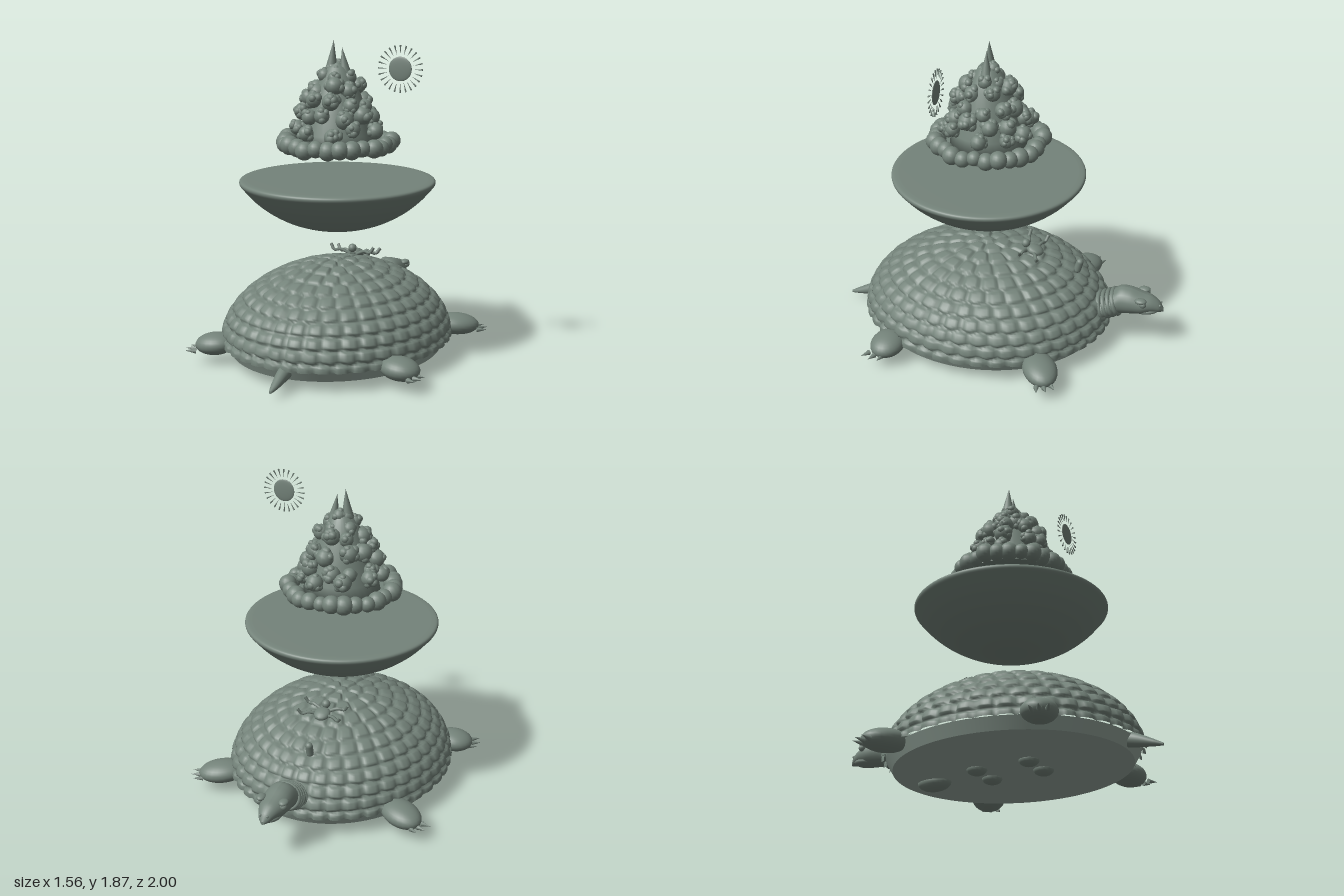
import * as THREE from 'three';
import { mergeGeometries, mergeVertices } from 'three/addons/utils/BufferGeometryUtils.js';

const stone = new THREE.MeshStandardMaterial({ color: 0x74837a });
const pale = new THREE.MeshStandardMaterial({ color: 0x94a59b });
const CZ = 0.09; // shared centre of shell, bowl and mountain along z

let seed = 7;
const rand = (a = 0, b = 1) => {
  seed = (seed * 16807) % 2147483647;
  return a + (b - a) * (seed / 2147483647);
};

function add(parent, name, geometry, pos = [0, 0, 0], rot = [0, 0, 0], scale = [1, 1, 1], mat = stone) {
  const m = new THREE.Mesh(geometry, mat);
  m.name = name;
  m.position.set(...pos);
  m.rotation.set(...rot);
  m.scale.set(...scale);
  parent.add(m);
  return m;
}

const ball = (r, x = 0, y = 0, z = 0, w = 12, h = 9) => new THREE.SphereGeometry(r, w, h).translate(x, y, z);

// Cone whose base sits at one point and whose tip is at another
function spike(from, to, r, sides = 8) {
  const a = new THREE.Vector3(...from), d = new THREE.Vector3(...to).sub(a);
  const g = new THREE.ConeGeometry(r, d.length(), sides).translate(0, d.length() / 2, 0);
  g.applyQuaternion(new THREE.Quaternion().setFromUnitVectors(new THREE.Vector3(0, 1, 0), d.normalize()));
  return g.translate(...from);
}

// Smooth skin through oval sections [z, y, rx, ry], listed towards -z
function loft(sections) {
  const mid = new THREE.CatmullRomCurve3(sections.map(s => new THREE.Vector3(0, s[1], s[0])));
  const size = new THREE.CatmullRomCurve3(sections.map(s => new THREE.Vector3(s[2], s[3], 0)));
  const g = new THREE.CylinderGeometry(1, 1, 1, 24, 40);
  const p = g.attributes.position;
  for (let i = 0; i < p.count; i++) {
    const t = THREE.MathUtils.clamp(p.getY(i) + 0.5, 0, 1);
    const c = mid.getPoint(t), s = size.getPoint(t);
    p.setXYZ(i, p.getX(i) * s.x, c.y + p.getZ(i) * s.y, c.z);
  }
  g.computeVertexNormals();
  return g;
}

// Dome divided into raised scales by distance to the two nearest cell centres
function scaledDome() {
  const cells = [], step = 0.155;
  for (let k = 0; k < 11; k++) {
    const a = k * step, n = Math.max(1, Math.round(2 * Math.PI * Math.sin(a) / step));
    for (let j = 0; j < n; j++) {
      const b = (j + (k % 2) / 2) / n * 2 * Math.PI;
      cells.push(new THREE.Vector3(Math.sin(a) * Math.cos(b), Math.cos(a), Math.sin(a) * Math.sin(b)));
    }
  }
  let g = new THREE.SphereGeometry(1, 220, 84, 0, Math.PI * 2, 0, Math.PI / 2);
  g.deleteAttribute('uv');
  g.deleteAttribute('normal');
  g = mergeVertices(g, 1e-4);
  const p = g.attributes.position, v = new THREE.Vector3();
  for (let i = 0; i < p.count; i++) {
    v.fromBufferAttribute(p, i);
    let f1 = 9, f2 = 9;
    for (const c of cells) {
      const d = v.distanceTo(c);
      if (d < f1) { f2 = f1; f1 = d; } else if (d < f2) f2 = d;
    }
    const k = 0.975 + 0.03 * THREE.MathUtils.smoothstep(f2 - f1, 0, 0.06) - 0.06 * f1;
    const flare = k * Math.pow(Math.max(Math.hypot(v.x, v.z), 1e-6), 0.12);
    p.setXYZ(i, v.x * 0.67 * flare, 0.115 + v.y * 0.465 * k, CZ + v.z * 0.765 * flare);
  }
  g.computeVertexNormals();
  return g;
}

function buildTurtle() {
  const t = new THREE.Group();
  t.name = 'turtle';
  add(t, 'shell', scaledDome());
  // Pale belly with its round bumps
  add(t, 'bellyPlate', new THREE.CylinderGeometry(1, 0.945, 0.07, 80), [0, 0.085, CZ], [0, 0, 0], [0.645, 1, 0.74], pale);
  for (const x of [-0.09, 0.09]) for (const z of [0.24, -0.09])
    add(t, 'bellyBump', ball(0.06), [x, 0.05, z], [0, 0, 0], [1, 0.6, 1]);
  add(t, 'frontBellyBump', ball(0.1, 0, 0, 0, 20, 14), [0, 0.05, -0.42], [0, 0, 0], [0.75, 0.5, 1.05]);

  // Neck, head and tail
  add(t, 'neckAndHead', loft([
    [-0.5, 0.2, 0.1, 0.08], [-0.62, 0.22, 0.098, 0.075], [-0.69, 0.26, 0.094, 0.085], [-0.74, 0.29, 0.085, 0.088],
    [-0.8, 0.295, 0.086, 0.082], [-0.87, 0.29, 0.08, 0.066], [-0.93, 0.29, 0.058, 0.048], [-0.975, 0.275, 0.035, 0.032],
    [-1, 0.258, 0.01, 0.01]]));
  add(t, 'lowerJaw', ball(1, 0, 0, 0, 20, 14), [0, 0.25, -0.89], [0.1, 0, 0], [0.06, 0.026, 0.09]);
  for (let i = 0; i < 5; i++)
    add(t, 'neckFold', new THREE.TorusGeometry(0.088, 0.014, 8, 32), [0, 0.215 + i * 0.014, -0.6 - i * 0.028], [0.35, 0, 0], [1, 0.86, 1]);
  for (const s of [-1, 1]) {
    add(t, 'brow', ball(0.028), [s * 0.07, 0.338, -0.87], [0, 0, 0], [1, 0.6, 1.3]);
    add(t, 'eye', ball(0.021), [s * 0.076, 0.32, -0.885]);
    add(t, 'nostril', ball(0.008), [s * 0.022, 0.295, -0.98]);
  }
  add(t, 'tail', loft([[1, 0.042, 0.008, 0.008], [0.95, 0.058, 0.022, 0.02], [0.85, 0.09, 0.036, 0.04], [0.72, 0.12, 0.045, 0.05]]));

  // Four stubby legs with three claws each
  for (const s of [-1, 1]) for (const [name, x, z, turn, r] of [['frontLeg', 0.585, -0.385, 0.5, 0.145], ['hindLeg', 0.575, 0.55, -0.2, 0.12]]) {
    const leg = new THREE.Group();
    leg.name = name;
    leg.position.set(s * x, 0.115, z);
    leg.rotation.y = s > 0 ? turn : Math.PI - turn;
    add(leg, 'foot', ball(1, 0, 0, 0, 24, 16), [0, 0, 0], [0, 0, -0.08], [r, 0.065, 0.1]);
    for (const c of [-1, 0, 1]) {
      const zc = c * 0.042 + (turn > 0 ? 0.012 : 0.03) * s, xc = r - 0.01 - Math.abs(c) * 0.012;
      add(leg, 'claw', spike([xc, -0.03, zc], [xc + 0.06, -0.025, zc * 1.3], 0.016));
    }
    t.add(leg);
  }

  // Little sprawled creature and upright pebble on the shell
  const rider = new THREE.Group();
  rider.name = 'shellRider';
  rider.position.set(0, 0.545, -0.17);
  rider.rotation.x = -0.25;
  add(rider, 'riderBody', ball(0.045), [0, 0.012, -0.03], [0, 0, 0], [1.1, 0.6, 1.2]);
  add(rider, 'riderHead', ball(0.026), [0, 0.035, 0.035]);
  for (const s of [-1, 1]) for (const z of [-0.05, 0.03]) {
    const path = new THREE.CatmullRomCurve3([[0.02, 0, z * 0.5], [0.08, 0.022, z], [0.115, 0.015, z * 1.3], [0.14, 0.05, z * 1.4]]
      .map(q => new THREE.Vector3(s * q[0], q[1], q[2])));
    add(rider, 'riderLimb', new THREE.TubeGeometry(path, 12, 0.01, 6));
  }
  t.add(rider);
  add(t, 'pebble', new THREE.CapsuleGeometry(0.022, 0.055, 6, 12), [-0.04, 0.455, -0.465], [-0.25, 0, 0]);
  return t;
}

function buildBowl() {
  const under = new THREE.SplineCurve([[0, 0.755], [0.14, 0.768], [0.28, 0.808], [0.4, 0.87], [0.49, 0.94], [0.55, 1.005], [0.573, 1.035], [0.566, 1.055], [0.53, 1.06]]
    .map(q => new THREE.Vector2(...q))).getPoints(40);
  under[0].x = 0;
  const g = new THREE.LatheGeometry([...under, new THREE.Vector2(0.3, 1.062), new THREE.Vector2(0, 1.062)], 80);
  const m = add(new THREE.Group(), 'earthBowl', g);
  m.position.z = CZ - 0.005;
  return m;
}

function buildMountain() {
  const g = new THREE.Group();
  g.name = 'mountain';
  g.position.z = CZ - 0.005;
  // Solid core on a thin floor
  add(g, 'core', new THREE.LatheGeometry([[0, 1.235], [0.23, 1.235], [0.21, 1.33], [0.17, 1.46], [0.12, 1.6], [0.06, 1.71], [0, 1.74]]
    .map(q => new THREE.Vector2(...q)), 32));
  add(g, 'floor', new THREE.CylinderGeometry(0.3, 0.3, 0.02, 40), [0, 1.24, 0]);
  // Ring of boulders round the foot
  for (let i = 0; i < 28; i++) {
    const a = i / 28 * Math.PI * 2, R = 0.3 + (i % 3) * 0.008;
    add(g, 'boulder', ball(rand(0.043, 0.058), 0, 0, 0, 16, 12), [R * Math.cos(a), 1.27 + rand(-0.008, 0.012), R * Math.sin(a)]);
  }
  // Lumpy clumps piled up the slope, each a cluster of small balls
  const lumps = [];
  [[1.36, 0.235, 9], [1.43, 0.2, 10], [1.51, 0.165, 9], [1.59, 0.12, 7], [1.66, 0.075, 5], [1.7, 0.03, 3]].forEach(([y, R, n], k) => {
    for (let i = 0; i < n; i++) {
      const a = (i + k * 0.5 + rand(-0.2, 0.2)) / n * Math.PI * 2;
      const c = [R * Math.cos(a), y + rand(-0.025, 0.025), R * Math.sin(a)], size = rand(0.042, 0.055) * (k > 3 ? 0.8 : 1);
      lumps.push(ball(size, ...c));
      for (let j = 0; j < 7; j++) {
        const b = rand(0, 6.28), h = rand(-0.8, 1), q = Math.sqrt(1 - h * h) * size * 0.75;
        lumps.push(ball(size * rand(0.4, 0.55), c[0] + q * Math.cos(b), c[1] + h * size * 0.75, c[2] + q * Math.sin(b), 10, 7));
      }
    }
  });
  add(g, 'rockClumps', mergeGeometries(lumps));
  // Twin peaks
  add(g, 'tallPeak', spike([-0.036, 1.7, 0], [-0.022, 1.865, 0], 0.036, 20));
  add(g, 'shortPeak', spike([0.05, 1.68, 0], [0.03, 1.825, 0], 0.034, 20));
  return g;
}

// Flat sun disc with a circle of rays
function buildSun() {
  const g = new THREE.Group();
  g.name = 'sun';
  g.position.set(0.45, 1.735, 0.25);
  add(g, 'sunDisc', ball(0.068, 0, 0, 0, 32, 16), [0, 0, 0], [0, 0, 0], [1, 1, 0.12]);
  for (let i = 0; i < 24; i++) {
    const a = i / 24 * Math.PI * 2, c = Math.cos(a), s = Math.sin(a);
    add(g, 'sunRay', spike([c * 0.132, s * 0.132, 0], [c * 0.078, s * 0.078, 0], 0.005, 6));
  }
  return g;
}

export function createModel() {
  const model = new THREE.Group();
  model.name = 'worldTurtle';
  model.add(buildTurtle(), buildBowl(), buildMountain(), buildSun());
  return model;
}
